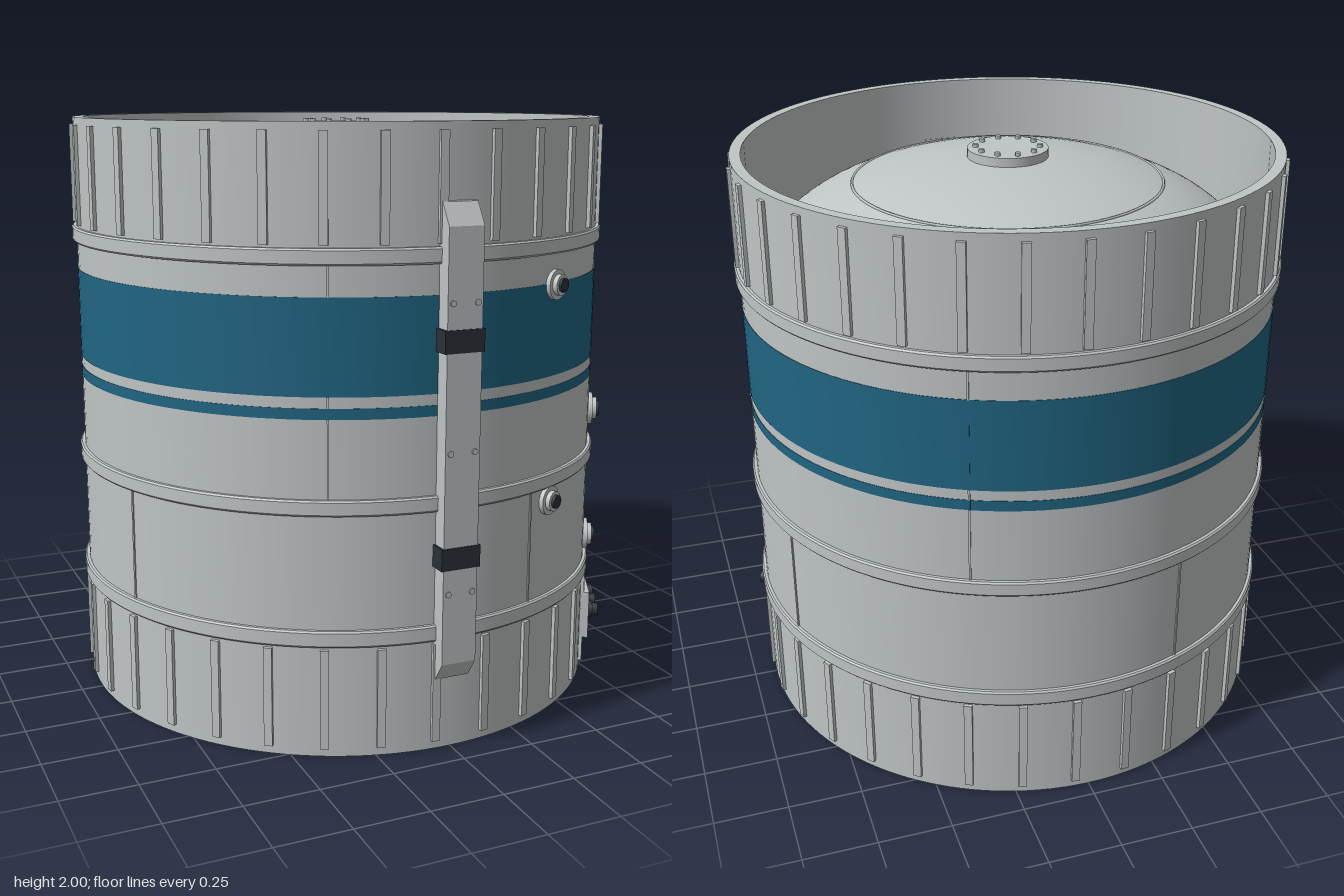
import * as THREE from 'three';
import { toCreasedNormals } from 'three/addons/utils/BufferGeometryUtils.js';

const mat = (name, color) => {
  const m = new THREE.MeshStandardMaterial({ color });
  m.name = name;
  return m;
};

export function createModel() {
  const steel = mat('brushed steel', 0xbfc4c4);
  const blue = mat('blue paint', 0x206582);
  const dark = mat('dark rubber', 0x2b3038);
  const R = 0.922;
  const root = new THREE.Group();
  root.name = 'tank';
  root.position.set(-0.003, 0, -0.022);

  const add = (parent, name, geometry, material, x = 0, y = 0, z = 0) => {
    const mesh = new THREE.Mesh(geometry, material);
    mesh.name = name;
    mesh.position.set(x, y, z);
    parent.add(mesh);
    return mesh;
  };
  const lathe = (points, segments = 128) => toCreasedNormals(
    new THREE.LatheGeometry(points.map(([r, y]) => new THREE.Vector2(r, y)), segments), 0.5);
  // closed ring with a rectangular section
  const ring = (r0, r1, y0, y1, segments) =>
    lathe([[r0, y0], [r1, y0], [r1, y1], [r0, y1], [r0, y0]], segments);
  // frame turned so that its +z points outwards at the given angle
  const radial = (name, degrees, y = 0) => {
    const g = new THREE.Group();
    g.name = name;
    g.rotation.y = THREE.MathUtils.degToRad(degrees);
    g.position.y = y;
    root.add(g);
    return g;
  };
  // round part along +z, from z0 to z1
  const plug = (parent, name, r, z0, z1, material, x = 0, y = 0, sides = 24) =>
    add(parent, name, new THREE.CylinderGeometry(r, r, z1 - z0, sides).rotateX(Math.PI / 2),
      material, x, y, (z0 + z1) / 2);

  // Outer shell, open at both ends
  add(root, 'outerShell', ring(0.885, R, 0, 2), steel);
  for (const [y0, y1] of [[0.375, 0.43], [0.805, 0.857], [1.58, 1.632]])
    add(root, 'hoop', lathe([[R - 0.01, y0], [0.932, y0], [0.937, y0 + 0.006],
      [0.937, y1 - 0.006], [0.932, y1], [R - 0.01, y1]]), steel);
  for (const [y0, y1] of [[1.18, 1.485], [1.11, 1.145]])
    add(root, 'paintedBand', ring(R - 0.005, R + 0.0015, y0, y1), blue);

  // Skirt ribs
  for (let i = 0; i < 32; i++) {
    const g = radial('skirtRibs', 8 + i * 11.25);
    for (const y of [0.197, 1.808])
      add(g, 'rib', new THREE.BoxGeometry(0.028, 0.335, 0.022), steel, 0, y, R + 0.001);
  }

  // Vertical weld seams, painted where they cross the bands
  const seam = (g, y0, y1, material) =>
    add(g, 'seam', new THREE.BoxGeometry(0.007, y1 - y0, 0.01), material, 0, (y0 + y1) / 2, R - 0.001);
  for (let i = 0; i < 4; i++) {
    const upper = radial('upperSeam', 65 + i * 90);
    seam(upper, 0.857, 1.11, steel);
    seam(upper, 1.11, 1.145, blue);
    seam(upper, 1.145, 1.18, steel);
    seam(upper, 1.18, 1.485, blue);
    seam(upper, 1.485, 1.58, steel);
    seam(radial('lowerSeam', 20 + i * 90), 0.43, 0.805, steel);
  }

  // Inner vessel with domed ends
  const profile = [];
  const steps = 24;
  for (let i = 0; i <= steps; i++) {
    const a = (i / steps) * Math.PI / 2;
    profile.push([0.858 * Math.sin(a), 0.445 - 0.4 * Math.cos(a)]);
  }
  for (let i = steps; i >= 0; i--) {
    const a = (i / steps) * Math.PI / 2;
    profile.push([0.858 * Math.sin(a), 1.555 + 0.4 * Math.cos(a)]);
  }
  add(root, 'innerVessel', lathe(profile), steel);
  const domeDrop = 0.4 * (1 - Math.sqrt(1 - (0.527 / 0.858) ** 2));
  for (const y of [0.045 + domeDrop, 1.955 - domeDrop])
    add(root, 'domeSeam', new THREE.TorusGeometry(0.527, 0.005, 6, 96).rotateX(Math.PI / 2), steel, 0, y, 0);

  // Top manhole cover with bolts
  add(root, 'manholeCover', new THREE.CylinderGeometry(0.137, 0.137, 0.035, 48), steel, 0, 1.9625, 0);
  for (let i = 0; i < 10; i++) {
    const a = i * Math.PI / 5;
    add(root, 'coverBolt', new THREE.CylinderGeometry(0.01, 0.01, 0.012, 6), steel,
      0.108 * Math.sin(a), 1.985, 0.108 * Math.cos(a));
  }
  // Bottom drain collar
  add(root, 'drainCollar', ring(0.1, 0.112, 0.032, 0.06, 48), steel);

  // Cable duct on the front, chamfered at both ends
  const duct = radial('cableDuct', 0);
  const side = new THREE.Shape();
  [[0.878, 0.235], [0.933, 0.245], [0.977, 0.31], [0.977, 1.695], [0.933, 1.765], [0.878, 1.775]]
    .forEach(([z, y], i) => (i ? side.lineTo(z, y) : side.moveTo(z, y)));
  const ductGeometry = new THREE.ExtrudeGeometry(side, { depth: 0.12, bevelEnabled: false });
  ductGeometry.translate(0, 0, -0.06).rotateY(-Math.PI / 2);
  add(duct, 'ductBody', ductGeometry, steel);
  for (const y of [0.66, 1.348])
    add(duct, 'ductStrap', new THREE.BoxGeometry(0.136, 0.072, 0.07), dark, 0, y, 0.945);
  for (const y of [0.545, 1.0, 1.465])
    for (const x of [-0.042, 0.042])
      plug(duct, 'ductScrew', 0.01, 0.972, 0.982, steel, x, y, 10);

  // Pipe fittings
  for (const [angle, y, s] of [[26, 1.48, 0.85], [26, 0.76, 0.85], [61, 0.955, 1], [61, 0.475, 1]]) {
    const g = radial('pipeFitting', angle, y);
    plug(g, 'fittingFlange', 0.058 * s, 0.9, 0.936, steel, 0, 0, 32);
    plug(g, 'fittingNeck', 0.04 * s, 0.93, 0.952, steel);
    plug(g, 'fittingPort', 0.028 * s, 0.94, 0.962, dark, 0, 0, 8);
  }

  // Control panel with three knobs
  const panel = radial('controlPanel', 62, 0.208);
  add(panel, 'panelPlate', new THREE.BoxGeometry(0.32, 0.175, 0.03), steel, 0, 0, 0.925);
  for (const x of [-0.097, 0, 0.097]) {
    plug(panel, 'knobBase', 0.03, 0.935, 0.958, dark, x);
    plug(panel, 'knob', 0.025, 0.955, 0.978, dark, x, 0, 8);
  }

  const model = new THREE.Group();
  model.name = 'storageTank';
  model.add(root);
  return model;
}
